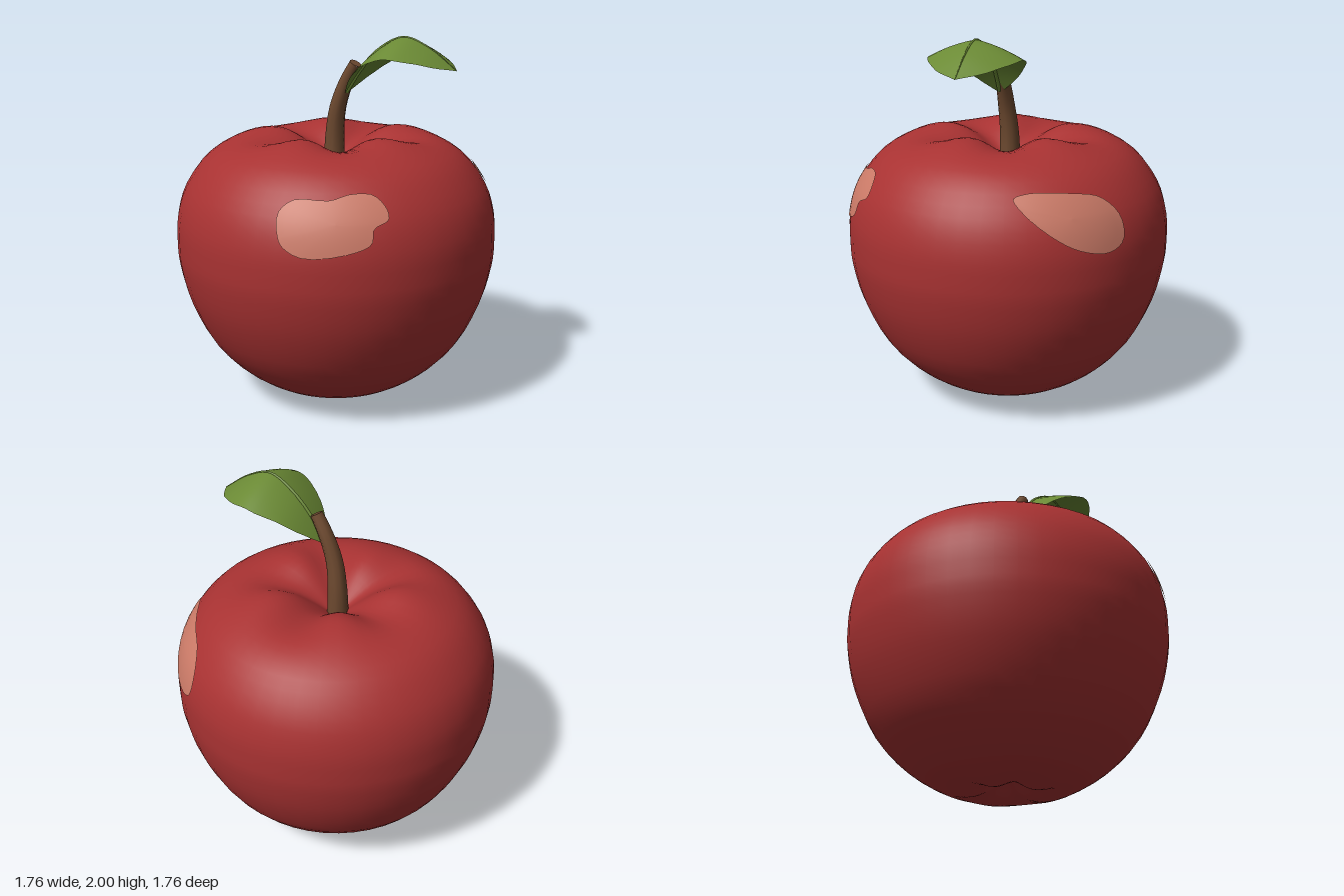
import * as THREE from 'three';
import { mergeVertices } from 'three/addons/utils/BufferGeometryUtils.js';

const V2 = (p) => new THREE.Vector2(...p);
const V3 = (p) => new THREE.Vector3(...p);

// Half outline of the fruit (radius, height), bottom dimple to stem dimple
const profile = new THREE.SplineCurve([
  [0, 0.1], [0.06, 0.07], [0.13, 0.03], [0.22, 0.016], [0.36, 0.045], [0.55, 0.16], [0.71, 0.33],
  [0.82, 0.555], [0.87, 0.75], [0.88, 0.88], [0.872, 1.03], [0.82, 1.19], [0.7, 1.345], [0.54, 1.43],
  [0.38, 1.45], [0.24, 1.42], [0.12, 1.35], [0.04, 1.29], [0, 1.27],
].map(V2));

// Five soft lobes around the shoulder and the base
function lobe(r, y, angle) {
  const bump = (mid, width) => Math.exp(-(((r - mid) / width) ** 2));
  return Math.cos(5 * angle) * (y > 0.75 ? 0.03 * bump(0.32, 0.18) : -0.014 * bump(0.19, 0.1));
}

function fruitGeometry() {
  const lathe = new THREE.LatheGeometry(profile.getPoints(54), 48);
  lathe.deleteAttribute('uv');
  lathe.deleteAttribute('normal');
  const geo = mergeVertices(lathe, 1e-4);
  const pos = geo.attributes.position;
  for (let i = 0; i < pos.count; i++) {
    const x = pos.getX(i), y = pos.getY(i), z = pos.getZ(i);
    pos.setY(i, y + lobe(Math.hypot(x, z), y, Math.atan2(z, x)));
  }
  geo.computeVertexNormals();
  return geo;
}

// Point just above the fruit's upper side, from an angle in degrees and a height
function onFruit(deg, y) {
  let lo = 0.5, hi = 14 / 18;
  for (let i = 0; i < 30; i++) {
    const mid = (lo + hi) / 2;
    if (profile.getPoint(mid).y < y) lo = mid; else hi = mid;
  }
  const r = profile.getPoint(lo).x, a = THREE.MathUtils.degToRad(deg);
  const p = new THREE.Vector3(r * Math.cos(a), y, r * Math.sin(a));
  return p.add(p.clone().sub(V3([0, 0.75, 0])).setLength(0.006));
}

// Thin blotch that follows the skin: rings shrinking from its outline to its centre
function blotchGeometry(outline) {
  const curve = new THREE.CatmullRomCurve3(outline.map(([a, y]) => V3([a, y * 100, 0])), true);
  const n = 40, rings = 6, pts = curve.getPoints(n).slice(0, n);
  const centre = pts.reduce((s, p) => s.add(p), new THREE.Vector3()).divideScalar(n);
  const points = [], index = [];
  for (let k = 0; k <= rings; k++) {
    for (let i = 0; i < n; i++) {
      const q = centre.clone().lerp(pts[i], Math.max(k / rings, 0.001));
      points.push(onFruit(q.x, q.y / 100));
      if (k === rings) continue;
      const a = k * n + i, b = k * n + ((i + 1) % n);
      index.push(a, b + n, a + n, a, b, b + n);
    }
  }
  const geo = new THREE.BufferGeometry().setFromPoints(points);
  geo.setIndex(index);
  geo.computeVertexNormals();
  return geo;
}

// Round tube whose radius runs from r0 to r1
function taperedTube(curve, r0, r1, steps, sides) {
  const geo = new THREE.TubeGeometry(curve, steps, 1, sides);
  const pos = geo.attributes.position, v = new THREE.Vector3();
  for (let i = 0; i < pos.count; i++) {
    const t = Math.floor(i / (sides + 1)) / steps;
    const c = curve.getPointAt(t);
    v.fromBufferAttribute(pos, i).sub(c).multiplyScalar(r0 + (r1 - r0) * t).add(c);
    pos.setXYZ(i, v.x, v.y, v.z);
  }
  geo.computeVertexNormals();
  geo.attributes.normal.copy(new THREE.TubeGeometry(curve, steps, 1, sides).attributes.normal);
  return geo;
}

const leafRib = new THREE.CatmullRomCurve3([
  [0.08, 1.69, -0.005], [0.155, 1.81, -0.035], [0.25, 1.92, -0.07],
  [0.4, 1.997, -0.115], [0.53, 1.95, -0.165], [0.675, 1.84, -0.22],
].map(V3));
const leafWidth = new THREE.SplineCurve([
  [0, 0.015], [0.08, 0.09], [0.2, 0.165], [0.4, 0.235], [0.52, 0.248],
  [0.64, 0.235], [0.77, 0.185], [0.89, 0.115], [1, 0],
].map(V2));

// One half of the leaf, arching down from the midrib; side is 1 or -1
function leafHalf(side) {
  const geo = new THREE.PlaneGeometry(1, 1, 6, 20);
  const pos = geo.attributes.position;
  for (let i = 0; i < pos.count; i++) {
    const across = pos.getX(i) + side * 0.5, t = pos.getY(i) + 0.5;
    const outline = leafWidth.getPoint(t), rib = leafRib.getPoint(0);
    // find the rib point at this share of the leaf's length
    let lo = 0, hi = 1;
    for (let k = 0; k < 24; k++) {
      const mid = (lo + hi) / 2;
      leafRib.getPoint(mid, rib);
      if ((rib.x - 0.08) / 0.595 < outline.x) lo = mid; else hi = mid;
    }
    const d = across * Math.max(outline.y, 0);
    pos.setXYZ(i, rib.x + 0.34 * d, rib.y - 0.2 * Math.abs(d) - 0.7 * d * d, rib.z + 0.94 * d);
  }
  geo.computeVertexNormals();
  return geo;
}

export function createModel() {
  const model = new THREE.Group();
  const material = (name, color, side = THREE.FrontSide) => {
    const m = new THREE.MeshStandardMaterial({ color, side });
    m.name = name;
    return m;
  };
  const skin = material('red skin', 0xa83232);
  const pale = material('pale blotch', 0xcc7b68);
  const bark = material('brown stem', 0x6e4a30);
  const green = material('leaf green', 0x6b8a35, THREE.DoubleSide);
  const add = (name, geo, mat, parent = model) => {
    const mesh = new THREE.Mesh(geo, mat);
    mesh.name = name;
    parent.add(mesh);
    return mesh;
  };

  add('fruit', fruitGeometry(), skin);

  // Pale blotches on the shoulder (angle, height)
  add('frontBlotch', blotchGeometry([
    [60.4, 1.215], [55.4, 1.27], [42.8, 1.27], [35.5, 1.295], [27, 1.29], [23, 1.235], [22.8, 1.18],
    [28, 1.145], [29.2, 1.075], [35.9, 1.035], [51, 1.01], [57.6, 1.055], [59.5, 1.1],
  ]), pale);
  add('backBlotch', blotchGeometry([
    [-80, 1.17], [-79.4, 1.04], [-72.8, 1.0], [-62.7, 1.03], [-54, 1.1], [-42.4, 1.24],
    [-40.7, 1.28], [-45.8, 1.3], [-54.3, 1.3], [-62.2, 1.29], [-73.7, 1.26],
  ]), pale);

  // Curved stem with a cut end
  const stemPath = new THREE.CatmullRomCurve3([
    [-0.015, 1.25, 0], [-0.01, 1.45, 0], [0.015, 1.6, 0], [0.065, 1.74, -0.015], [0.125, 1.845, -0.03],
  ].map(V3));
  add('stem', taperedTube(stemPath, 0.06, 0.034, 14, 10), bark);
  const cut = add('stemEnd', new THREE.CircleGeometry(0.034, 10), bark);
  cut.position.copy(stemPath.getPointAt(1));
  cut.lookAt(cut.position.clone().add(stemPath.getTangentAt(1)));

  // Leaf folded along its midrib
  const leaf = new THREE.Group();
  leaf.name = 'leaf';
  model.add(leaf);
  add('leafFrontHalf', leafHalf(1), green, leaf);
  add('leafBackHalf', leafHalf(-1), green, leaf);
  add('midrib', taperedTube(leafRib, 0.012, 0.002, 20, 6), green, leaf);

  return model;
}
